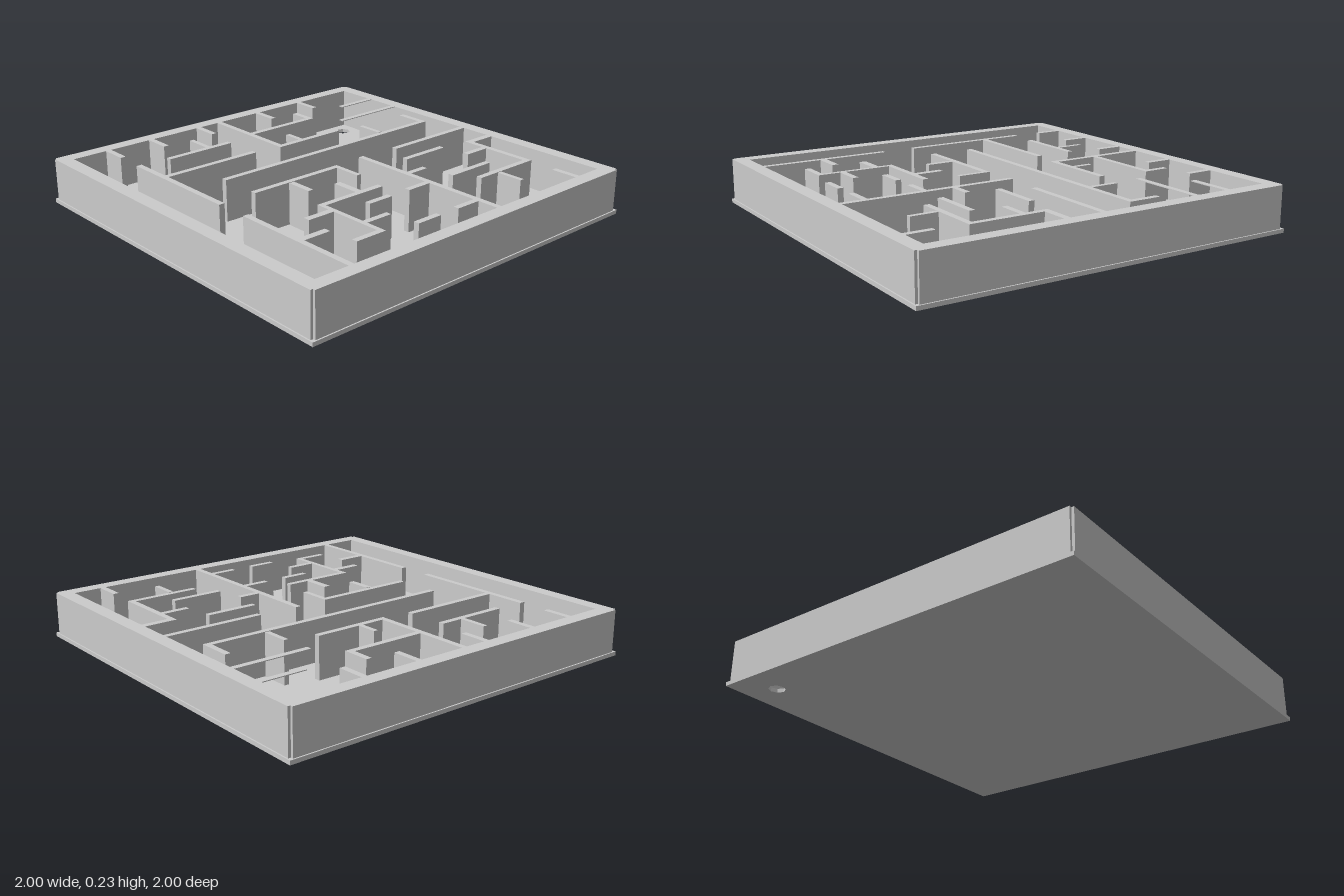
import * as THREE from 'three';

const FLOOR = 0.02, TOP = 0.235;
const material = new THREE.MeshStandardMaterial({ color: 0xcccccc, flatShading: true, side: THREE.DoubleSide });

// Maze walls as [x0, z0, x1, z1]
const WALLS = {
  leftMazeWall: [
    [-0.93, -0.575, -0.78, -0.545], [-0.93, -0.27, -0.78, -0.24], [-0.93, 0.14, -0.78, 0.17],
    [-0.93, 0.445, -0.78, 0.475], [-0.93, 0.705, -0.78, 0.735],
    [-0.77, -0.42, -0.63, -0.39], [-0.66, -0.39, -0.63, 0], [-0.93, 0, -0.37, 0.03],
    [-0.4, -0.38, -0.37, 0], [-0.505, -0.145, -0.4, -0.12],
    [-0.625, 0.18, -0.595, 0.56], [-0.77, 0.295, -0.625, 0.32],
    [-0.42, 0.175, -0.39, 0.71], [-0.625, 0.71, 0.06, 0.74],
  ],
  centreMazeWall: [
    [-0.2, -0.85, -0.17, 0.53], [-0.345, -0.85, -0.2, -0.82], [-0.35, -0.54, -0.205, -0.515],
    [0.025, -0.005, 0.055, 0.53], [0.055, -0.005, 0.2, 0.02], [0.06, 0.3, 0.2, 0.33],
  ],
  backMazeWall: [
    [0.02, -0.93, 0.05, -0.4], [0.21, -0.93, 0.245, -0.75], [0.245, -0.78, 0.625, -0.75],
    [0.325, -0.75, 0.355, -0.61], [0.595, -0.75, 0.625, -0.4], [0.63, -0.54, 0.77, -0.515],
    [0.17, -0.595, 0.2, -0.325], [0.48, -0.595, 0.51, -0.325], [0.78, -0.775, 0.93, -0.745],
  ],
  rightMazeWall: [
    [0.015, -0.195, 0.93, -0.165], [0.325, -0.305, 0.355, -0.195],
    [0.475, -0.165, 0.505, -0.03], [0.78, -0.165, 0.81, -0.03],
    [0.475, 0.085, 0.505, 0.225], [0.78, 0.085, 0.81, 0.225],
    [0.355, 0.03, 0.385, 0.385], [0.21, 0.14, 0.355, 0.175], [0.355, 0.385, 0.77, 0.41],
    [0.625, 0.24, 0.655, 0.385], [0.43, 0.41, 0.465, 0.555], [0.74, 0.41, 0.77, 0.555],
    [0.235, 0.71, 0.93, 0.74], [0.58, 0.565, 0.615, 0.71],
  ],
};

// Thin strips level with the rim
const STRIPS = [[-0.71, -0.93, -0.68, -0.69], [-0.515, -0.93, -0.485, -0.515]];

function square(Type, h) {
  return new Type([[-h, -h], [h, -h], [h, h], [-h, h]].map(([x, y]) => new THREE.Vector2(x, y)));
}

// Extrude a plan shape (shape y becomes -z) from y0 up to y1
function slab(name, shape, y0, y1) {
  const geometry = new THREE.ExtrudeGeometry(shape, { depth: y1 - y0, bevelEnabled: false });
  geometry.rotateX(-Math.PI / 2).translate(0, y0, 0);
  const mesh = new THREE.Mesh(geometry, material);
  mesh.name = name;
  return mesh;
}

function wall(name, [x0, z0, x1, z1], y0) {
  const mesh = new THREE.Mesh(new THREE.BoxGeometry(x1 - x0, TOP - y0, z1 - z0), material);
  mesh.position.set((x0 + x1) / 2, (y0 + TOP) / 2, (z0 + z1) / 2);
  mesh.name = name;
  return mesh;
}

export function createModel() {
  const group = new THREE.Group();
  group.name = 'mazeTray';

  // Base plate with an eight-sided exit hole in the back left corner
  const base = square(THREE.Shape, 1);
  const hole = [];
  for (let i = 0; i < 8; i++) {
    const a = -(i * Math.PI) / 4;
    hole.push(new THREE.Vector2(-0.83 + 0.042 * Math.cos(a), 0.83 + 0.042 * Math.sin(a)));
  }
  base.holes.push(new THREE.Path(hole));
  group.add(slab('basePlate', base, 0, FLOOR));

  // Rim, set in slightly from the base, with small square notches at the corners
  const o = 0.993, n = 0.98;
  const outline = [];
  for (let i = 0; i < 4; i++) {
    for (const [x, y] of [[o, -n], [o, n], [n, n]]) {
      outline.push(new THREE.Vector2(x, y).rotateAround(new THREE.Vector2(), (i * Math.PI) / 2));
    }
  }
  const rim = new THREE.Shape(outline);
  rim.holes.push(square(THREE.Path, 0.92));
  group.add(slab('rim', rim, FLOOR, TOP));

  // Maze walls
  for (const [name, list] of Object.entries(WALLS)) {
    for (const rect of list) group.add(wall(name, rect, FLOOR));
  }
  for (const rect of STRIPS) group.add(wall('rimStrip', rect, TOP - 0.004));

  return group;
}
